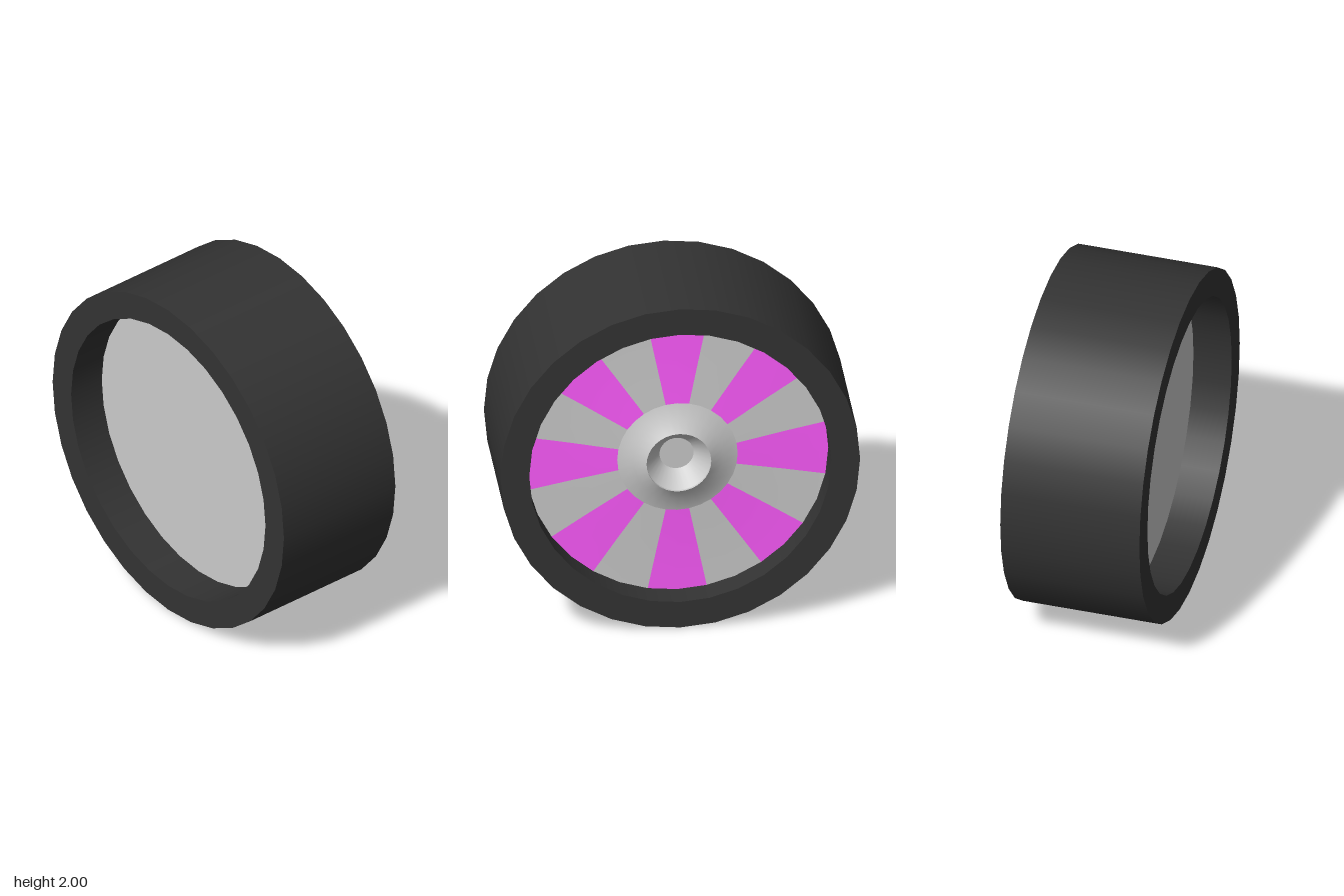
import * as THREE from 'three';

const SIDES = 32;
const STEP = (Math.PI * 2) / SIDES;

const grey = new THREE.MeshStandardMaterial({ color: 0xcccccc });
const rubber = new THREE.MeshStandardMaterial({ color: 0x333333 });
const magenta = new THREE.MeshStandardMaterial({ color: 0xff5cff });

// Turns a [radius, x] profile around the x axis; start and count are in ring segments.
function turned(name, profile, material, start = 0, count = SIDES) {
  const points = profile.map(([r, x]) => new THREE.Vector2(r, x));
  const geometry = new THREE.LatheGeometry(points, count, start * STEP, count * STEP);
  geometry.rotateZ(-Math.PI / 2);
  const mesh = new THREE.Mesh(geometry, material);
  mesh.name = name;
  return mesh;
}

export function createModel() {
  const wheel = new THREE.Group();
  wheel.name = 'wheel';

  // Tyre: separate bands keep the edges sharp
  const tyre = new THREE.Group();
  tyre.name = 'tyre';
  tyre.add(
    turned('tread', [[1, -0.4], [1, 0.4]], rubber),
    turned('outerSidewall', [[1, 0.4], [0.84, 0.4]], rubber),
    turned('innerWall', [[0.84, 0.4], [0.84, -0.4]], rubber),
    turned('innerSidewall', [[0.84, -0.4], [1, -0.4]], rubber),
  );
  wheel.add(tyre);

  // Rim face: eight coloured panels alternating with eight grey spokes
  const rimFace = new THREE.Group();
  rimFace.name = 'rimFace';
  const spokeProfile = [[0.84, 0.25], [0.6, 0.252], [0.335, 0.262]];
  for (let i = 0; i < 8; i++) {
    rimFace.add(
      turned('colouredPanel', spokeProfile, magenta, i * 4 - 1, 2),
      turned('spoke', spokeProfile, grey, i * 4 + 1, 2),
    );
  }
  wheel.add(rimFace);

  // Hub: a raised collar with a funnel-shaped recess
  const hub = new THREE.Group();
  hub.name = 'hub';
  hub.add(
    turned('hubCollar', [[0.335, 0.262], [0.25, 0.287], [0.18, 0.335]], grey),
    turned('hubLip', [[0.18, 0.335], [0.18, 0.32]], grey),
    turned('hubFunnel', [[0.18, 0.32], [0.095, 0.22]], grey),
    turned('hubFloor', [[0.095, 0.22], [0, 0.22]], grey),
  );
  wheel.add(hub);

  // Flat plate closing the back of the rim
  wheel.add(turned('backPlate', [[0, -0.18], [0.84, -0.18]], grey));

  wheel.position.y = 1;
  const model = new THREE.Group();
  model.name = 'model';
  model.add(wheel);
  return model;
}
